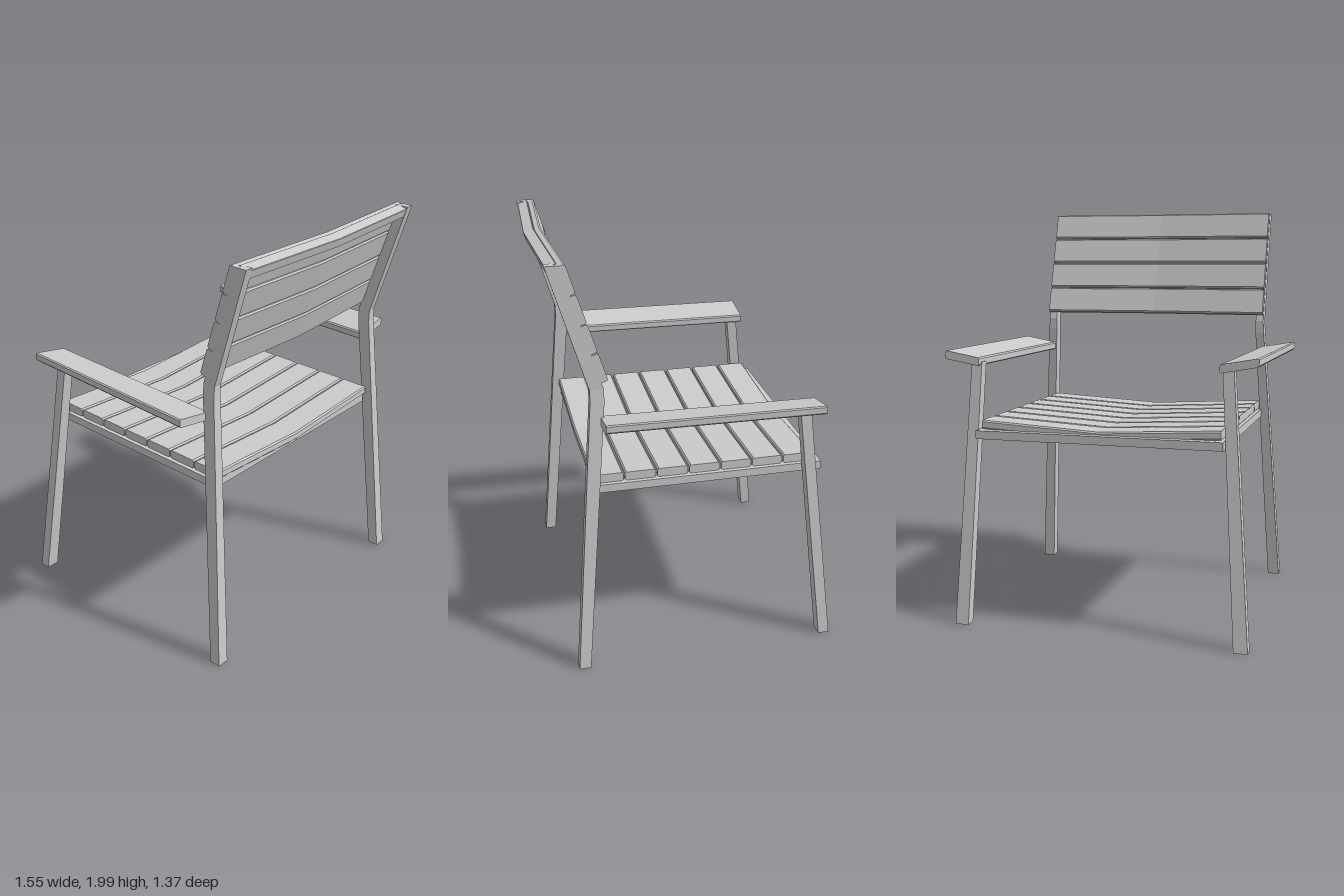
import * as THREE from 'three';

const material = new THREE.MeshStandardMaterial({ color: 0xcccccc, flatShading: true });

// Closed solid lofted through matching rings of [x, y, z] corners
function loft(name, rings) {
  const pos = [];
  const tri = (a, b, c) => pos.push(...a, ...b, ...c);
  const n = rings[0].length, last = rings[rings.length - 1];
  for (let s = 0; s < rings.length - 1; s++) {
    for (let i = 0; i < n; i++) {
      const j = (i + 1) % n, a = rings[s], b = rings[s + 1];
      tri(a[i], a[j], b[j]);
      tri(a[i], b[j], b[i]);
    }
  }
  for (let i = 1; i < n - 1; i++) {
    tri(rings[0][0], rings[0][i + 1], rings[0][i]);
    tri(last[0], last[i], last[i + 1]);
  }
  // Turn the faces outward if the enclosed volume came out negative
  let volume = 0;
  const [p, q, r] = [0, 1, 2].map(() => new THREE.Vector3());
  for (let i = 0; i < pos.length; i += 9) {
    p.fromArray(pos, i); q.fromArray(pos, i + 3); r.fromArray(pos, i + 6);
    volume += p.dot(q.cross(r));
  }
  if (volume < 0) {
    for (let i = 0; i < pos.length; i += 9) {
      for (let k = 0; k < 3; k++) [pos[i + 3 + k], pos[i + 6 + k]] = [pos[i + 6 + k], pos[i + 3 + k]];
    }
  }
  const geometry = new THREE.BufferGeometry();
  geometry.setAttribute('position', new THREE.Float32BufferAttribute(pos, 3));
  geometry.computeVertexNormals();
  const mesh = new THREE.Mesh(geometry, material);
  mesh.name = name;
  return mesh;
}

// Rectangle with chamfered corners, as [u, v] pairs
function chamfered(u, v, c) {
  return [[u, v - c], [u - c, v], [c - u, v], [-u, v - c], [-u, c - v], [c - u, -v], [u - c, -v], [u, c - v]];
}

// Leg through horizontal sections [x, y, z, width, depth]
function leg(name, sections) {
  return loft(name, sections.map(([x, y, z, w, d]) =>
    [[-1, -1], [1, -1], [1, 1], [-1, 1]].map(([i, k]) => [x + i * w / 2, y, z + k * d / 2])));
}

// Slat along x, kinked at the middle by (dipY, dipZ); its section leans by angle from upright
function slat(name, half, y, z, height, depth, angle, dipY, dipZ, chamfer = 0.007) {
  const c = Math.cos(angle), s = Math.sin(angle);
  return loft(name, [-1, 0, 1].map(k => chamfered(height / 2, depth / 2, chamfer).map(([u, v]) => [
    k * half,
    y + u * c - v * s + (k ? 0 : dipY),
    z + u * s + v * c + (k ? 0 : dipZ),
  ])));
}

function box(name, x, y, z, w, h, d) {
  const mesh = new THREE.Mesh(new THREE.BoxGeometry(w, h, d), material);
  mesh.position.set(x, y, z);
  mesh.name = name;
  return mesh;
}

export function createModel() {
  const chair = new THREE.Group();
  chair.name = 'armchair';
  const lean = Math.atan(0.316);

  for (const side of [-1, 1]) {
    const left = side > 0;

    // Rear leg, bending back into the backrest post
    chair.add(leg('rearLeg', [
      [side * 0.67, 0, 0.567, 0.06, 0.056],
      [side * 0.587, 1.36, 0.455, 0.044, 0.064],
      [side * 0.585, 1.42, 0.455, 0.04, 0.064],
      [side * 0.585, 1.99, 0.626, 0.04, 0.064],
    ]));

    // Splayed front leg up to the armrest
    chair.add(leg('frontLeg', [
      [left ? 0.658 : -0.7, 0, -0.658, 0.066, 0.054],
      [left ? 0.621 : -0.6, 1.26, -0.505, 0.052, 0.052],
    ]));

    // Armrest board, raised at its outer edge: [z, inner x, outer x]
    const ends = left
      ? [[-0.558, 0.6, 0.775], [0.442, 0.577, 0.755]]
      : [[-0.558, -0.565, -0.742], [0.442, -0.592, -0.775]];
    chair.add(loft('armrest', ends.map(([z, inner, outer]) => {
      const mid = (inner + outer) / 2, half = Math.abs(outer - inner) / 2;
      return chamfered(half, 0.02, 0.006).map(([u, v]) => [mid + side * u, 1.278 + v + 0.016 * u / half, z]);
    })));

    // Seat side rail
    chair.add(box('seatSideRail', side * 0.576, 0.921, -0.075, 0.04, 0.04, 1.08));
  }

  // Seat cross rails
  chair.add(box('seatFrontRail', 0, 0.921, -0.596, 1.192, 0.04, 0.042));
  chair.add(box('seatRearRail', 0, 0.921, 0.455, 1.15, 0.04, 0.042));

  // Seven seat slats, dipping toward the middle
  for (let i = 0; i < 7; i++) {
    chair.add(slat('seatSlat', 0.58, 0.965, -0.506 + i * 0.153, 0.042, 0.146, 0, -0.032, 0));
  }

  // Four backrest slats, bowed toward the rear
  for (let i = 0; i < 4; i++) {
    const y = 1.52 + i * 0.135;
    chair.add(slat('backSlat', 0.603, y, 0.588 + (y - 1.99) * 0.316, 0.137, 0.036, lean, 0, 0.03));
  }

  // Top rail joining the posts behind the slats
  chair.add(slat('backTopRail', 0.585, 1.966, 0.622, 0.044, 0.05, lean, 0, 0.03, 0.002));

  return chair;
}
